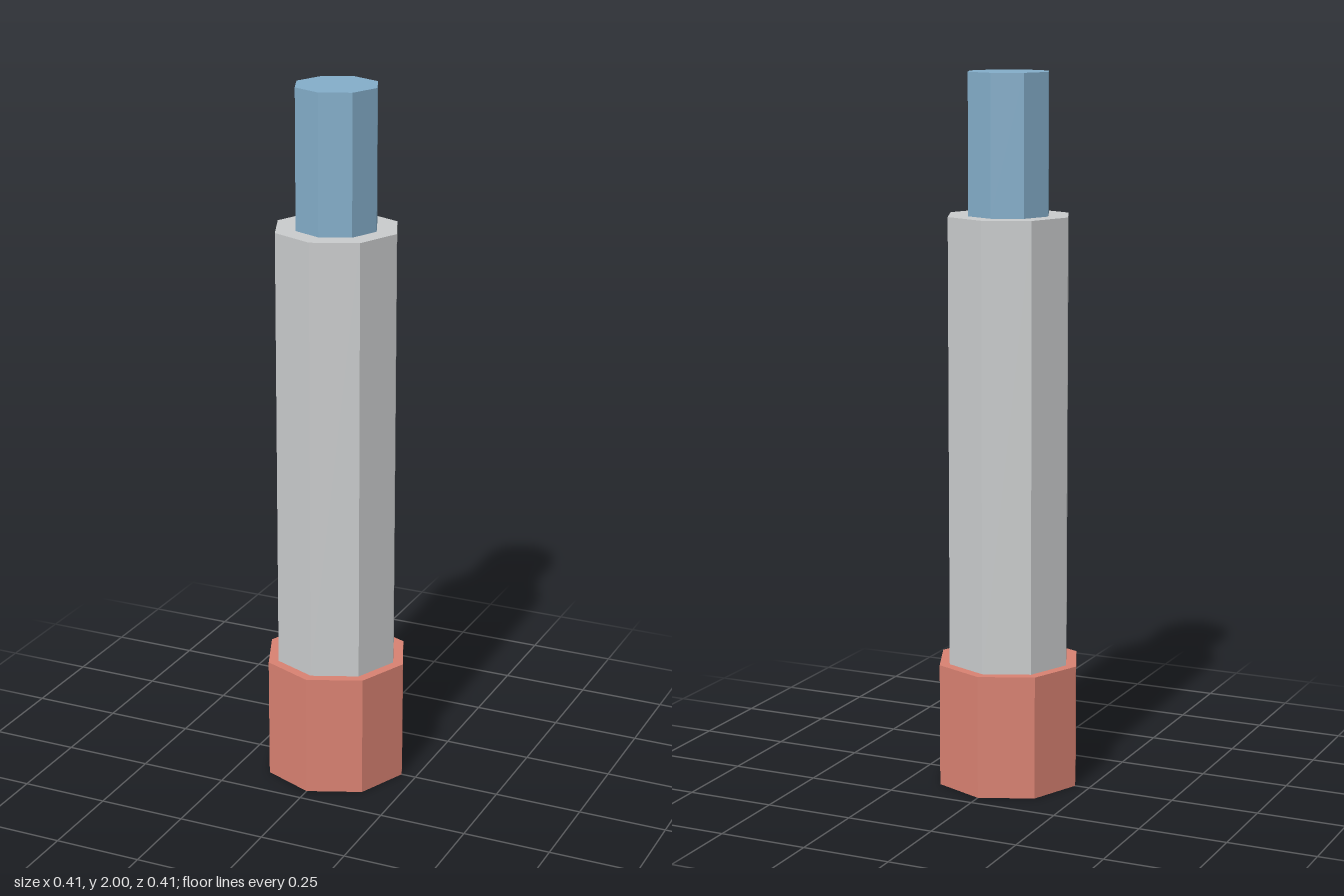
import * as THREE from 'three';

const material = (name, color) => {
  const m = new THREE.MeshStandardMaterial({ color });
  m.name = name;
  m.flatShading = true;
  return m;
};

export function createModel() {
  const group = new THREE.Group();
  group.name = 'steppedShaft';

  // Stacked octagonal prisms, corners on the x and z axes
  const sections = [
    { name: 'baseCollar', radius: 0.207, bottom: 0, top: 0.35, mat: material('red', 0xd98272) },
    { name: 'body', radius: 0.177, bottom: 0.35, top: 1.61, mat: material('grey', 0xcacccd) },
    { name: 'tip', radius: 0.118, bottom: 1.61, top: 2, mat: material('blue', 0x84aeca) },
  ];

  for (const { name, radius, bottom, top, mat } of sections) {
    const mesh = new THREE.Mesh(new THREE.CylinderGeometry(radius, radius, top - bottom, 8), mat);
    mesh.name = name;
    mesh.position.y = (bottom + top) / 2;
    group.add(mesh);
  }
  return group;
}
